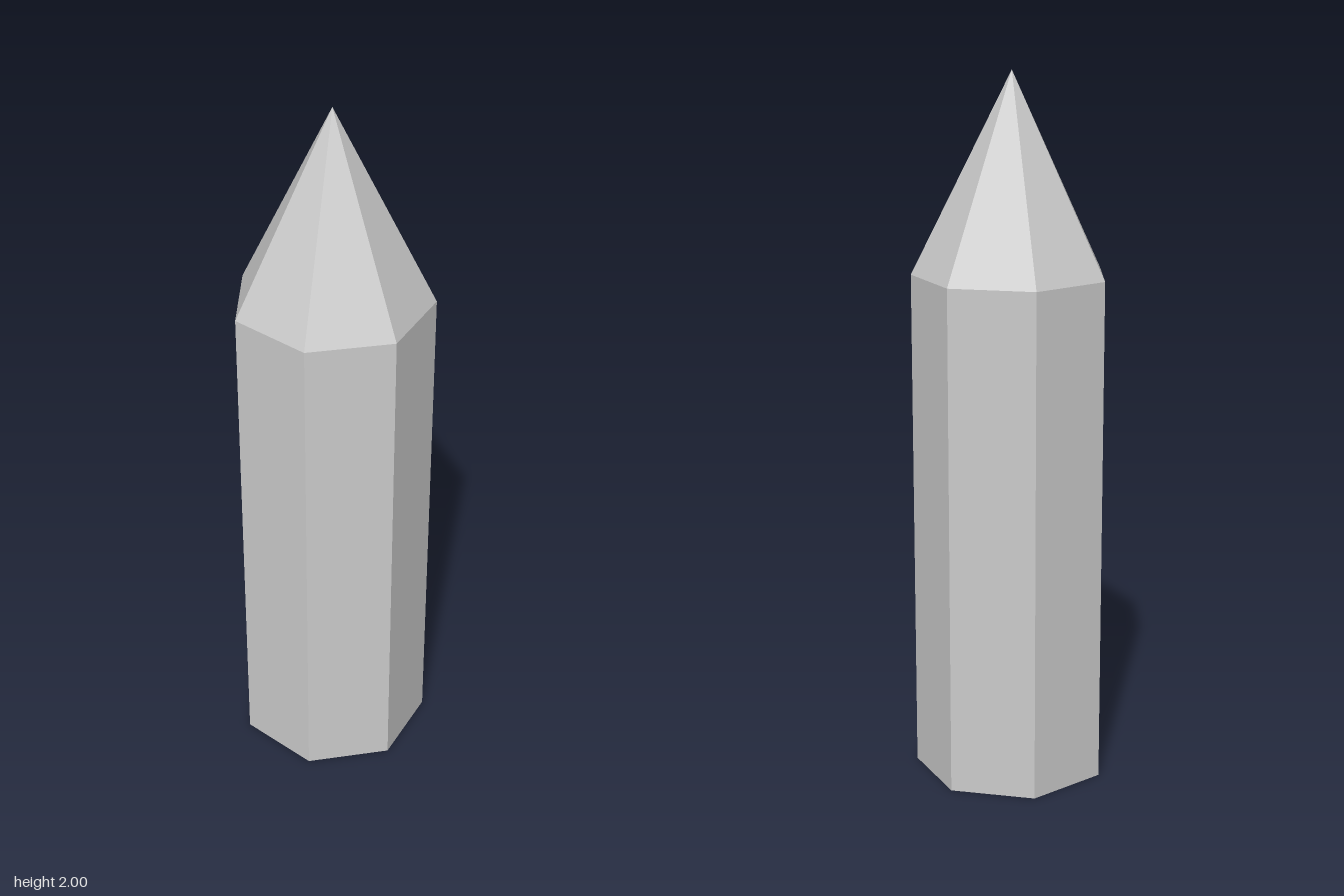
import * as THREE from 'three';

const SIDES = 7;
const RADIUS = 0.278;
const SHOULDER = 1.445; // height where the shaft meets the tip
const HEIGHT = 2;

export function createModel() {
  const group = new THREE.Group();
  group.name = 'pointedPost';
  const material = new THREE.MeshStandardMaterial({ color: 0xcccccc, flatShading: true });

  // Turns a profile into a seven-sided solid with one corner at the back
  const addPart = (name, profile) => {
    const points = profile.map(([r, y]) => new THREE.Vector2(r, y));
    const mesh = new THREE.Mesh(new THREE.LatheGeometry(points, SIDES, Math.PI), material);
    mesh.name = name;
    mesh.position.z = 0.014; // centres the odd-sided outline in depth
    group.add(mesh);
  };

  // Straight shaft, closed at the bottom
  addPart('shaft', [[0, 0], [RADIUS, 0], [RADIUS, SHOULDER]]);
  // Pyramidal tip
  addPart('tip', [[RADIUS, SHOULDER], [0, HEIGHT]]);

  return group;
}
